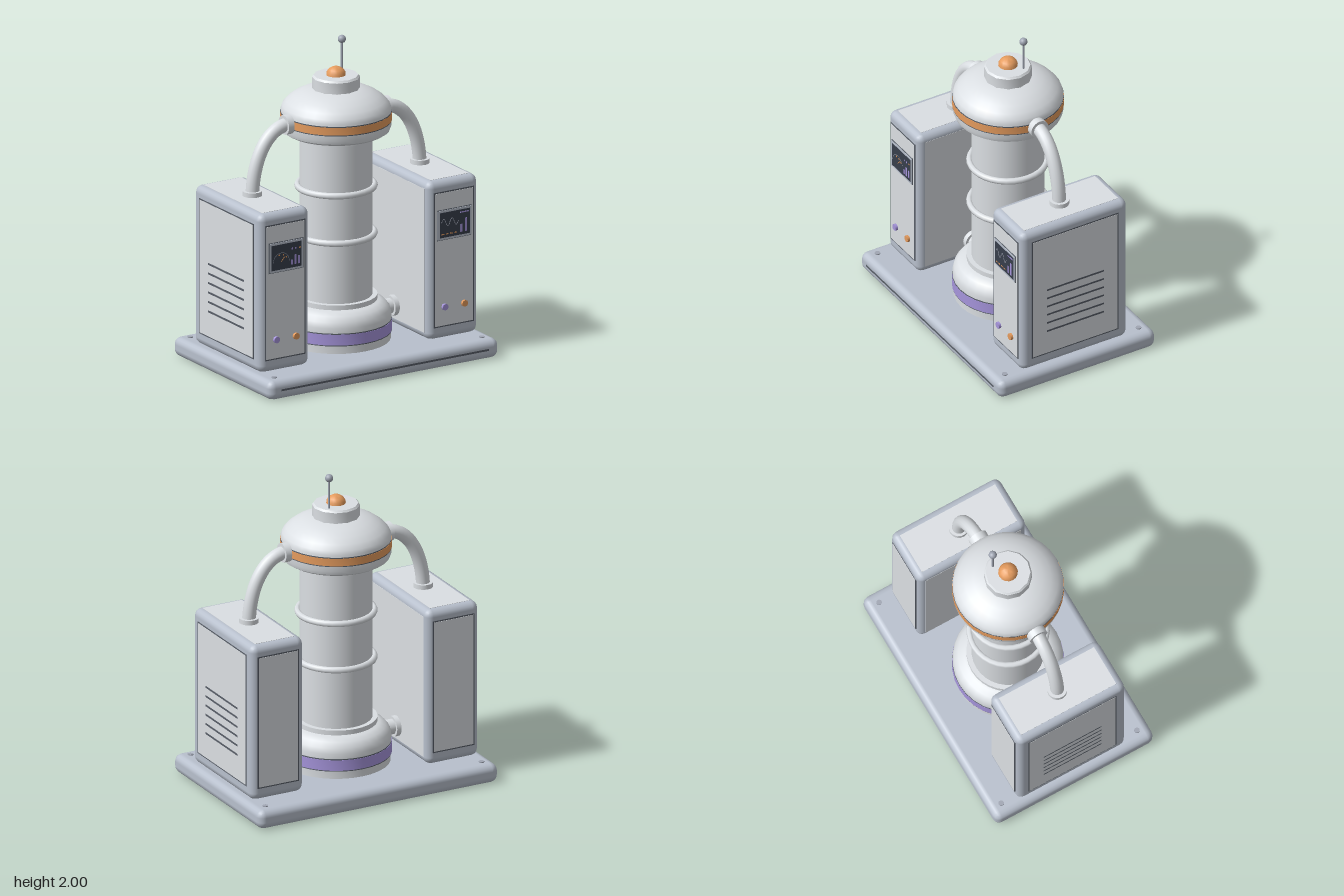
import * as THREE from 'three';
import { toCreasedNormals } from 'three/addons/utils/BufferGeometryUtils.js';
import { RoundedBoxGeometry } from 'three/addons/geometries/RoundedBoxGeometry.js';

const mat = (name, color) => {
  const m = new THREE.MeshStandardMaterial({ color });
  m.name = name;
  return m;
};

export function createModel() {
  const steel = mat('blue grey steel', 0xb8c0cd);
  const light = mat('light grey shell', 0xdbdfe3);
  const trim = mat('dark trim', 0x5a6069);
  const metal = mat('antenna metal', 0xa0a6b3);
  const orange = mat('orange', 0xe69c5e);
  const purple = mat('purple', 0xa695dc);
  const glass = mat('screen glass', 0x383e4c);

  const model = new THREE.Group();
  model.name = 'reactorMachine';

  const add = (parent, name, geometry, material, x = 0, y = 0, z = 0) => {
    const mesh = new THREE.Mesh(geometry, material);
    mesh.name = name;
    mesh.position.set(x, y, z);
    parent.add(mesh);
    return mesh;
  };
  const box = (parent, name, m, w, h, d, x, y, z) =>
    add(parent, name, new THREE.BoxGeometry(w, h, d), m, x, y, z);
  const lathe = (parent, name, m, profile, sides = 32) => {
    const g = new THREE.LatheGeometry(profile.map(p => new THREE.Vector2(...p)), sides);
    return add(parent, name, toCreasedNormals(g, 0.6), m);
  };
  const cyl = (parent, name, m, r, h, x, y, z, axis = 'y', sides = 20) => {
    const mesh = add(parent, name, new THREE.CylinderGeometry(r, r, h, sides), m, x, y, z);
    if (axis === 'x') mesh.rotation.z = Math.PI / 2;
    if (axis === 'z') mesh.rotation.x = Math.PI / 2;
    return mesh;
  };

  // Base slab with front groove and corner bolts
  const base = new THREE.Group();
  base.name = 'base';
  model.add(base);
  add(base, 'baseSlab', new RoundedBoxGeometry(1.64, 0.12, 1.1, 2, 0.045), steel, 0, 0.06, 0);
  box(base, 'frontGroove', trim, 1.48, 0.012, 0.004, 0, 0.062, 0.55);
  for (const x of [-0.74, 0.74]) for (const z of [-0.47, 0.47])
    cyl(base, 'bolt', metal, 0.017, 0.012, x, 0.12, z, 'y', 12);

  // Central tower
  const tower = new THREE.Group();
  tower.name = 'tower';
  model.add(tower);
  lathe(tower, 'lowerVessel', light, [
    [0.33, 0.11], [0.33, 0.17], [0.334, 0.24], [0.334, 0.28], [0.325, 0.315],
    [0.3, 0.345], [0.265, 0.363], [0.22, 0.37]]);
  lathe(tower, 'purpleBand', purple, [[0.33, 0.175], [0.338, 0.175], [0.338, 0.243], [0.33, 0.243]]);
  for (const y of [0.172, 0.246])
    cyl(tower, 'bandTrim', trim, 0.3365, 0.006, 0, y, 0, 'y', 32);
  cyl(tower, 'column', light, 0.22, 1.1, 0, 0.9, 0, 'y', 32);
  for (const y of [0.385, 1.415])
    cyl(tower, 'collar', light, 0.25, 0.03, 0, y, 0, 'y', 32);
  for (const y of [0.785, 1.085]) {
    const ring = add(tower, 'columnRing', new THREE.TorusGeometry(0.232, 0.02, 8, 32), light, 0, y, 0);
    ring.rotation.x = Math.PI / 2;
  }
  lathe(tower, 'upperVessel', light, [
    [0, 1.425], [0.3, 1.425], [0.325, 1.44], [0.334, 1.465], [0.334, 1.57], [0.325, 1.595],
    [0.3, 1.625], [0.26, 1.655], [0.21, 1.68], [0.14, 1.7], [0, 1.7]]);
  lathe(tower, 'orangeBand', orange, [[0.33, 1.502], [0.338, 1.502], [0.338, 1.55], [0.33, 1.55]]);
  for (const y of [1.499, 1.553])
    cyl(tower, 'bandTrim', trim, 0.3365, 0.006, 0, y, 0, 'y', 32);

  // Cap, beacon and antenna
  lathe(tower, 'cap', light, [
    [0.145, 1.68], [0.145, 1.768], [0.135, 1.78], [0, 1.78]], 12);
  lathe(tower, 'beacon', orange, [
    [0.06, 1.775], [0.058, 1.795], [0.046, 1.815], [0.025, 1.828], [0, 1.832]], 16);
  cyl(tower, 'antennaRod', metal, 0.007, 0.2, 0.08, 1.87, -0.06, 'y', 8);
  add(tower, 'antennaTip', new THREE.SphereGeometry(0.025, 14, 10), metal, 0.08, 1.975, -0.06);

  // A mirrored cabinet with its pipes on each side
  for (const s of [-1, 1]) {
    const cab = new THREE.Group();
    cab.name = s > 0 ? 'leftCabinet' : 'rightCabinet';
    model.add(cab);
    const cx = 0.6 * s;
    add(cab, 'cabinetBody', new RoundedBoxGeometry(0.36, 1, 0.75, 2, 0.045), steel, cx, 0.62, 0);

    // Light panels: trimmed on front, back and outside, plain on top and inside
    for (const f of [-1, 1]) {
      box(cab, 'panelTrim', trim, 0.284, 0.854, 0.006, cx, 0.625, f * 0.3745);
      box(cab, 'endPanel', light, 0.268, 0.838, 0.006, cx, 0.625, f * 0.3765);
    }
    box(cab, 'sidePanelTrim', trim, 0.004, 0.854, 0.61, cx + s * 0.1795, 0.625, 0);
    box(cab, 'sidePanel', light, 0.004, 0.838, 0.594, cx + s * 0.181, 0.625, 0);
    box(cab, 'innerPanel', light, 0.004, 0.91, 0.66, cx - s * 0.1795, 0.62, 0);
    box(cab, 'topPanel', light, 0.27, 0.004, 0.66, cx, 1.1195, 0);
    for (let i = 0; i < 6; i++)
      box(cab, 'vent', trim, 0.004, 0.012, 0.4, cx + s * 0.1825, 0.365 + i * 0.06, 0);

    // Push buttons
    [purple, orange].forEach((m, i) =>
      cyl(cab, 'button', m, 0.021, 0.02, cx - 0.07 + 0.14 * i, 0.325, 0.386, 'z', 8));

    // Display
    const display = new THREE.Group();
    display.name = 'display';
    display.position.set(cx, 0.843, 0.381);
    cab.add(display);
    box(display, 'bezelTrim', trim, 0.246, 0.192, 0.004, 0, 0, 0);
    box(display, 'bezel', steel, 0.238, 0.184, 0.008, 0, 0, 0.002);
    box(display, 'screen', glass, 0.212, 0.158, 0.006, 0, 0, 0.005);
    const mark = (m, w, h, x, y, a = 0) => {
      box(display, 'screenMark', m, w, h, 0.002, x, y, 0.0085).rotation.z = a;
    };
    if (s < 0) {
      // Dial, needle, bars and status dots
      add(display, 'dialArc', new THREE.RingGeometry(0.055, 0.058, 20, 1, 0, Math.PI),
        metal, -0.038, -0.03, 0.009);
      mark(orange, 0.04, 0.004, -0.024, -0.014, 0.8);
      for (const a of [0.6, 1.2, 1.9])
        mark(orange, 0.008, 0.008, -0.038 + 0.045 * Math.cos(a), -0.03 + 0.045 * Math.sin(a));
      [0.03, 0.06, 0.05].forEach((h, i) => mark(purple, 0.014, h, 0.037 + 0.026 * i, -0.06 + h / 2));
      [purple, purple, orange].forEach((m, i) => mark(m, 0.01, 0.01, 0.04 + 0.026 * i, 0.04));
    } else {
      // Wave trace, bars and dashes
      const n = 20, wave = i => [-0.095 + 0.12 * i / n, 0.015 + 0.024 * Math.sin(i / n * Math.PI * 4)];
      for (let i = 0; i < n; i++) {
        const [x0, y0] = wave(i), [x1, y1] = wave(i + 1);
        mark(metal, Math.hypot(x1 - x0, y1 - y0) + 0.001, 0.003, (x0 + x1) / 2, (y0 + y1) / 2,
          Math.atan2(y1 - y0, x1 - x0));
      }
      [0.05, 0.085].forEach((h, i) => mark(purple, 0.014, h, 0.048 + 0.03 * i, -0.062 + h / 2));
      mark(purple, 0.06, 0.007, 0.068, 0.062);
      for (let i = 0; i < 4; i++) mark(orange, 0.018, 0.006, -0.085 + 0.03 * i, -0.058);
    }

    // Upper bent pipe with flanges
    const path = new THREE.CubicBezierCurve3(
      new THREE.Vector3(0.33 * s, 1.525, 0), new THREE.Vector3(0.47 * s, 1.535, 0),
      new THREE.Vector3(0.59 * s, 1.38, 0), new THREE.Vector3(0.597 * s, 1.11, 0));
    add(cab, 'upperPipe', new THREE.TubeGeometry(path, 20, 0.042, 16), light);
    cyl(cab, 'vesselFlange', light, 0.06, 0.05, 0.347 * s, 1.525, 0, 'x');
    cyl(cab, 'cabinetFlange', light, 0.06, 0.035, 0.597 * s, 1.133, 0);

    // Lower straight pipe
    cyl(cab, 'lowerPipe', light, 0.047, 0.14, 0.36 * s, 0.253, 0, 'x');
    cyl(cab, 'lowerFlange', light, 0.064, 0.03, 0.4 * s, 0.253, 0, 'x');
  }
  return model;
}
